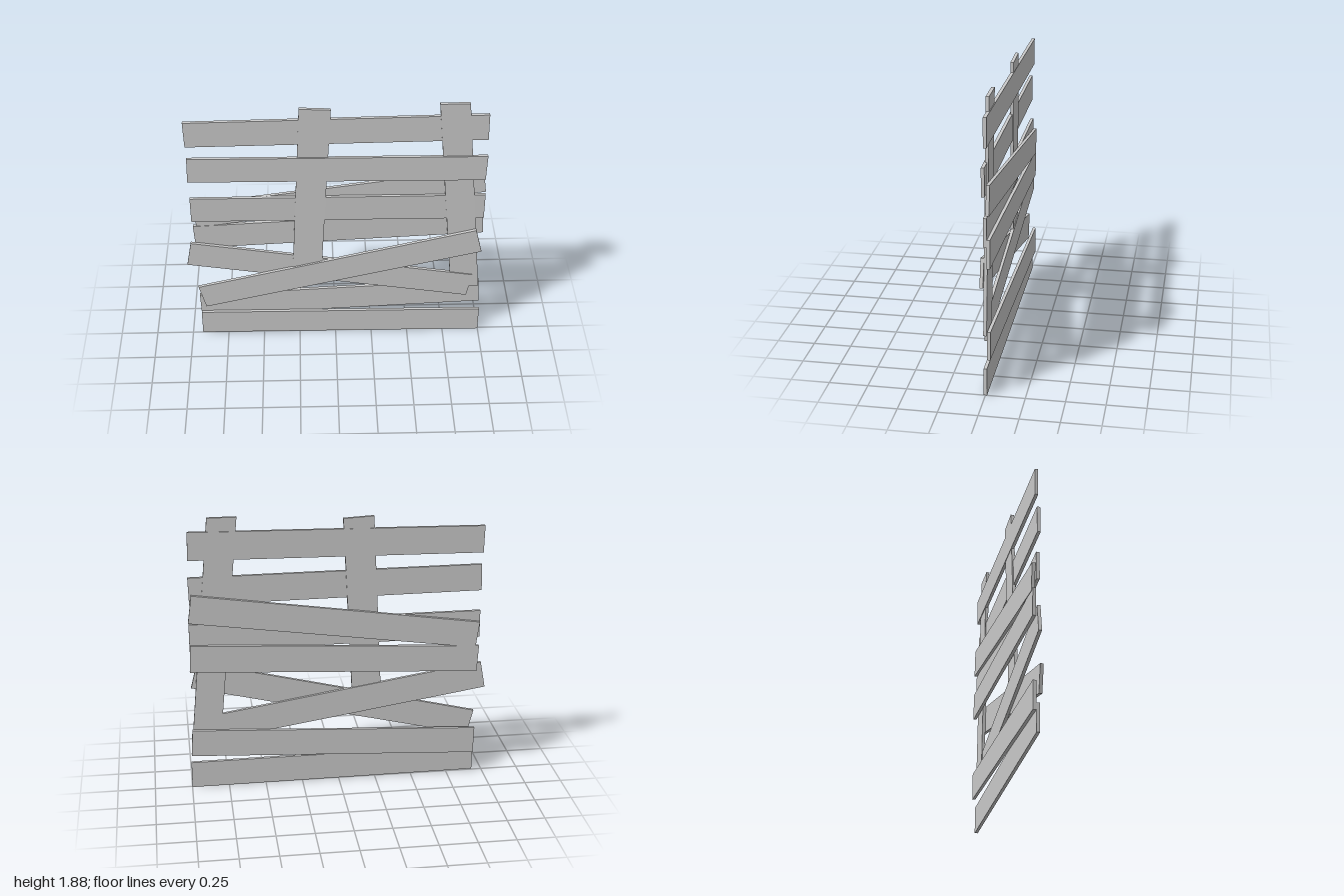
import * as THREE from 'three';

const THICK = 0.021;

// Board from its outline (top left, top right, bottom right, bottom left)
// and the depth of its centre line at its start and end.
function board(name, [tl, tr, br, bl], zStart, zEnd, upright = false) {
  const geo = new THREE.BoxGeometry(1, 1, 1);
  const p = geo.attributes.position;
  for (let i = 0; i < p.count; i++) {
    const right = p.getX(i) > 0, top = p.getY(i) > 0;
    const [x, y] = top ? (right ? tr : tl) : (right ? br : bl);
    const atEnd = upright ? !top : right;
    p.setXYZ(i, x, y, (atEnd ? zEnd : zStart) + p.getZ(i) * THICK);
  }
  geo.computeVertexNormals();
  const mesh = new THREE.Mesh(geo, new THREE.MeshStandardMaterial({ color: 0xcccccc, flatShading: true }));
  mesh.name = name;
  return mesh;
}

export function createModel() {
  const group = new THREE.Group();
  group.name = 'brokenPlankFence';

  // Leaning upright posts
  group.add(
    board('rightPost', [[-0.23, 1.86], [-0.03, 1.85], [-0.095, 0.58], [-0.29, 0.58]], 0, 0.012, true),
    board('leftPost', [[0.65, 1.885], [0.84, 1.885], [0.98, 0.4], [0.79, 0.4]], 0.004, 0.004, true),
  );

  // Level rails
  group.add(
    board('topRail', [[-0.96, 1.767], [0.967, 1.797], [0.97, 1.61], [-0.955, 1.585]], -0.001, -0.001),
    board('upperRail', [[-0.95, 1.5], [0.975, 1.49], [0.97, 1.305], [-0.955, 1.32]], 0.012, 0.012),
    board('middleRail', [[-0.95, 1.18], [0.98, 1.175], [0.98, 0.988], [-0.95, 0.995]], 0.004, 0),
    board('bottomRail', [[-0.93, 0.195], [1, 0.185], [1, 0.002], [-0.93, 0.012]], 0, 0),
  );

  // Slanted planks on the back
  group.add(
    board('upperBackPlank', [[-0.945, 1.107], [0.957, 1.378], [0.983, 1.19], [-0.92, 0.928]], -0.021, -0.016),
    board('middleBackPlank', [[-0.945, 0.937], [0.975, 1.035], [0.985, 0.85], [-0.935, 0.755]], -0.018, -0.02),
    board('lowerBackPlank', [[-0.935, 0.335], [0.985, 0.43], [0.995, 0.245], [-0.93, 0.15]], -0.021, -0.021),
  );

  // Crossed planks on the front
  group.add(
    board('fallingPlank', [[-0.967, 0.81], [0.932, 0.505], [0.9, 0.325], [-1, 0.628]], 0.002, 0.01),
    board('risingPlank', [[-0.935, 0.445], [0.935, 0.9], [0.98, 0.72], [-0.89, 0.272]], 0.025, 0.025),
  );
  return group;
}
